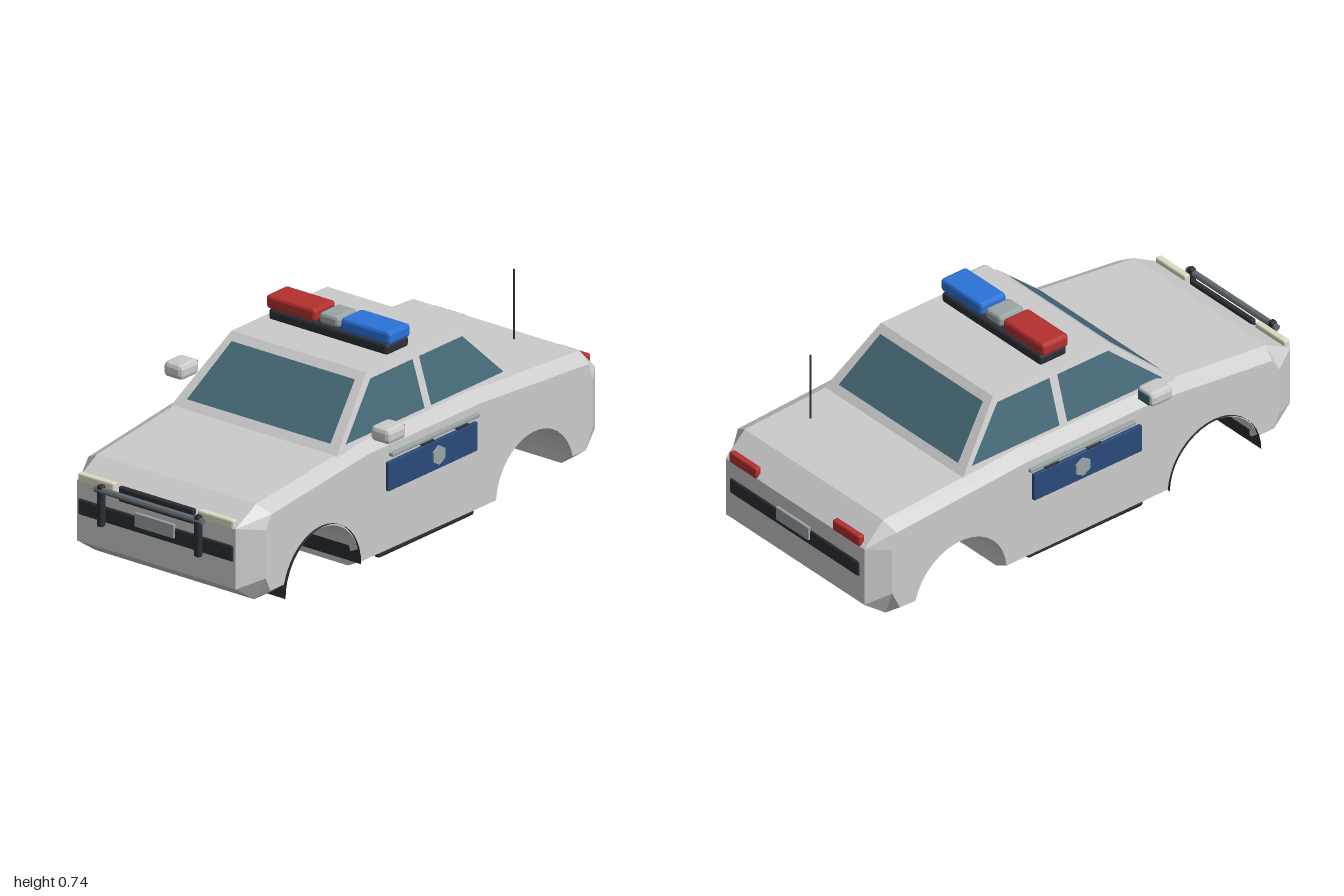
import * as THREE from 'three';
import { RoundedBoxGeometry } from 'three/addons/geometries/RoundedBoxGeometry.js';

const mat = (color, side = THREE.FrontSide) =>
  new THREE.MeshStandardMaterial({ color, side, flatShading: true });
const GREY = 0xcccccc, DARK = 0x2b3035, GLASS = 0x446876, RED = 0xb53030,
  BLUE = 0x2a72d8, NAVY = 0x2a4a7a, CREAM = 0xdcdcc4, STEEL = 0x9aa5a6, RAIL = 0x626b70;

export function createModel() {
  const car = new THREE.Group();
  car.name = 'patrolCar';

  const add = (name, geo, color, x = 0, y = 0, z = 0, side) => {
    const m = new THREE.Mesh(geo, mat(color, side));
    m.name = name;
    m.position.set(x, y, z);
    car.add(m);
    return m;
  };
  // Box with small chamfered edges
  const block = (name, color, w, h, d, x, y, z, r = 0.006) =>
    add(name, new RoundedBoxGeometry(w, h, d, 1, r), color, x, y, z);
  // Thin flat polygon
  const pane = (name, pts, color) => {
    const g = new THREE.BufferGeometry();
    const v = [];
    for (let i = 1; i < pts.length - 1; i++) v.push(...pts[0], ...pts[i], ...pts[i + 1]);
    g.setAttribute('position', new THREE.Float32BufferAttribute(v, 3));
    g.computeVertexNormals();
    return add(name, g, color, 0, 0, 0, THREE.DoubleSide);
  };

  // Body: side profile (z, y) with two wheel arches, chamfered towards the flanks
  const R = 0.21, CY = 0.015, REAR = -0.595, FRONT = 0.556, STEPS = 16;
  const arch = (cz, yBack, yFront) => {
    const a = Math.PI - Math.asin((yBack - CY) / R), b = Math.asin((yFront - CY) / R);
    return Array.from({ length: STEPS + 1 }, (_, i) => {
      const t = a + (b - a) * i / STEPS;
      return [cz + R * Math.cos(t), CY + R * Math.sin(t)];
    });
  };
  const inner = [
    [0.95, 0.33], [0.84, 0.39], [0.3, 0.45], [-0.3, 0.45], [-0.9, 0.415], [-0.985, 0.33],
    [-0.985, 0.1], [-0.89, 0.028], ...arch(REAR, 0.025, 0.005),
    ...arch(FRONT, 0.005, 0.037), [0.85, 0.037], [0.95, 0.105]];
  const outer = [
    [0.855, 0.31], [0.82, 0.36], [0.3, 0.42], [-0.3, 0.42], [-0.885, 0.383], [-0.905, 0.32],
    [-0.905, 0.14], [-0.87, 0.068], ...arch(REAR, 0.065, 0.032),
    ...arch(FRONT, 0.032, 0.077), [0.83, 0.077], [0.855, 0.13]];
  const width = z => 0.4177 - 0.009 * z;
  const rows = [[outer, -1, 0], [inner, -1, 0.055], [inner, 1, 0.055], [outer, 1, 0]]
    .map(([p, s, inset]) => p.map(([z, y]) => [s * (width(z) - inset), y, z]));
  const verts = [];
  const tri = (...ps) => ps.forEach(p => verts.push(...p));
  for (let k = 0; k < 3; k++) {
    for (let i = 0; i < inner.length; i++) {
      const j = (i + 1) % inner.length;
      const [a, b, c, d] = [rows[k][i], rows[k + 1][i], rows[k + 1][j], rows[k][j]];
      tri(a, b, c);
      tri(a, c, d);
    }
  }
  const contour = outer.map(([z, y]) => new THREE.Vector2(z, y));
  for (const [a, b, c] of THREE.ShapeUtils.triangulateShape(contour, [])) {
    tri(rows[0][a], rows[0][b], rows[0][c]);
    tri(rows[3][c], rows[3][b], rows[3][a]);
  }
  const bodyGeo = new THREE.BufferGeometry();
  bodyGeo.setAttribute('position', new THREE.Float32BufferAttribute(verts, 3));
  bodyGeo.computeVertexNormals();
  add('body', bodyGeo, GREY);

  // Dark liner in the front wheel arch
  const liner = add('frontArchLiner',
    new THREE.CylinderGeometry(R - 0.004, R - 0.004, 0.845, 20, 1, true, 0, Math.PI),
    DARK, 0, CY + 0.012, FRONT, THREE.DoubleSide);
  liner.rotation.z = Math.PI / 2;

  // Cabin: box narrowed towards the roof
  const cabinGeo = new THREE.BoxGeometry(2, 1, 2);
  const cp = cabinGeo.attributes.position;
  for (let i = 0; i < cp.count; i++) {
    const top = cp.getY(i) > 0, front = cp.getZ(i) > 0;
    cp.setXYZ(i, cp.getX(i) * (top ? 0.3 : 0.37), top ? 0.655 : 0.435,
      front ? (top ? 0.175 : 0.42) : (top ? -0.345 : -0.54));
  }
  cabinGeo.computeVertexNormals();
  add('cabin', cabinGeo, GREY);

  // Windows lie just outside the sloping cabin walls
  const Y0 = 0.463, Y1 = 0.632, E = 0.004;
  const rise = y => (y - 0.435) / 0.22;
  const zf = y => 0.42 - 0.245 * rise(y) + E;
  const zr = y => -0.54 + 0.195 * rise(y) - E;
  const xs = y => 0.37 - 0.07 * rise(y) + E;
  for (const [name, z] of [['windshield', zf], ['rearWindow', zr]]) {
    pane(name, [[-0.32, Y0, z(Y0)], [0.32, Y0, z(Y0)], [0.275, Y1, z(Y1)], [-0.275, Y1, z(Y1)]], GLASS);
  }
  for (const s of [-1, 1]) {
    const side = s > 0 ? 'left' : 'right';
    const p = (z, y) => [s * xs(y), y, z];
    pane(side + 'FrontWindow', [p(0.365, Y0), p(-0.065, Y0), p(-0.065, Y1), p(0.165, Y1)], GLASS);
    pane(side + 'RearWindow', [p(-0.1, Y0), p(-0.495, Y0), p(-0.335, Y1), p(-0.1, Y1)], GLASS);

    // Flank fittings
    block(side + 'DoorPanel', NAVY, 0.014, 0.107, 0.485, s * 0.427, 0.311, -0.028, 0.002);
    const badge = add(side + 'Badge', new THREE.CylinderGeometry(0.036, 0.036, 0.012, 6),
      STEEL, s * 0.435, 0.31, -0.055);
    badge.rotation.z = Math.PI / 2;
    badge.rotation.x = Math.PI / 2;
    block(side + 'DoorTrim', STEEL, 0.02, 0.014, 0.475, s * 0.423, 0.384, -0.048, 0.003);
    for (const z of [0.0, -0.19]) {
      block(side + 'DoorHandle', DARK, 0.02, 0.01, 0.06, s * 0.427, 0.373, z, 0.003);
    }
    block(side + 'Sill', DARK, 0.03, 0.028, 0.52, s * 0.398, 0.023, -0.02, 0.01);

    // Mirrors
    block(side + 'Mirror', GREY, 0.086, 0.058, 0.1, s * 0.462, 0.5, 0.25, 0.017);
    block(side + 'MirrorGlass', GLASS, 0.06, 0.038, 0.006, s * 0.462, 0.5, 0.199, 0.002);

    // Lamps and bull bar uprights
    block(side + 'Headlight', CREAM, 0.16, 0.036, 0.025, s * 0.267, 0.342, 0.943);
    block(side + 'TailLight', RED, 0.145, 0.042, 0.025, s * 0.277, 0.35, -0.977);
    block(side + 'BullBarPost', DARK, 0.024, 0.155, 0.024, s * 0.217, 0.281, 0.986);
  }

  // Nose
  block('grille', DARK, 0.335, 0.056, 0.02, 0, 0.327, 0.944);
  block('frontBumper', DARK, 0.69, 0.06, 0.02, 0, 0.235, 0.946);
  block('frontPlate', STEEL, 0.175, 0.052, 0.012, 0, 0.254, 0.956, 0.002);
  const bar = add('bullBar', new THREE.CylinderGeometry(0.012, 0.012, 0.48, 8), RAIL, 0, 0.339, 0.988);
  bar.rotation.z = Math.PI / 2;

  // Tail
  block('rearBumper', DARK, 0.69, 0.06, 0.02, 0, 0.235, -0.981);
  block('rearPlate', STEEL, 0.175, 0.052, 0.012, 0, 0.254, -0.993, 0.002);
  add('antenna', new THREE.CylinderGeometry(0.004, 0.004, 0.26, 6), DARK, 0.215, 0.6, -0.735);

  // Roof light bar
  block('lightBarBase', DARK, 0.53, 0.04, 0.12, 0, 0.677, -0.042, 0.01);
  block('redBeacon', RED, 0.22, 0.05, 0.116, -0.167, 0.721, -0.04, 0.012);
  block('blueBeacon', BLUE, 0.22, 0.05, 0.116, 0.167, 0.721, -0.04, 0.012);
  block('speaker', STEEL, 0.084, 0.042, 0.11, 0, 0.72, -0.04, 0.012);

  return car;
}
